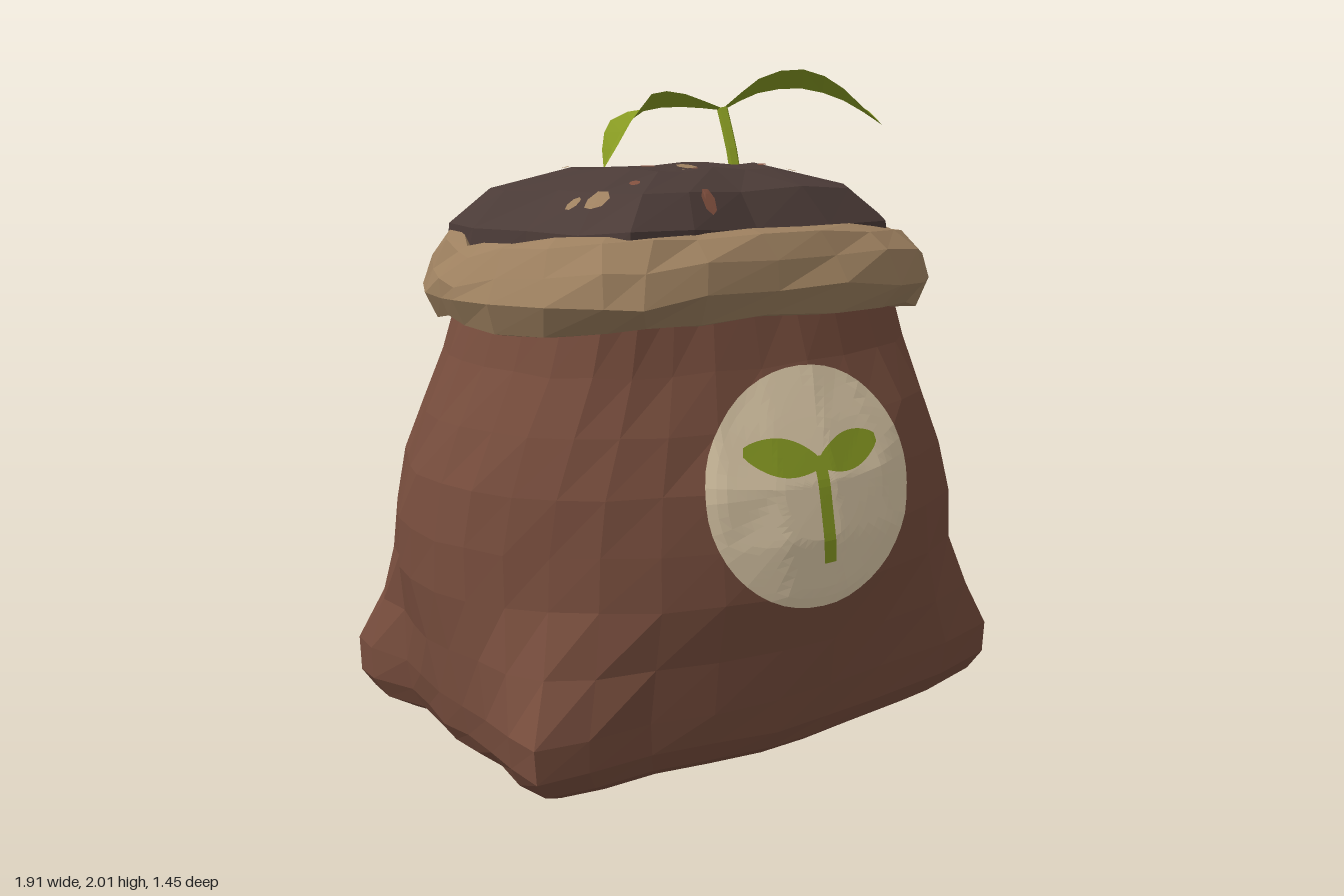
import * as THREE from 'three';

const mat = (name, color, side = THREE.FrontSide) => {
  const m = new THREE.MeshStandardMaterial({ color, side, flatShading: true });
  m.name = name;
  return m;
};

// Seeded jitter in -1..1
let seed = 7;
const rnd = () => {
  seed = (seed * 16807) % 2147483647;
  return (seed / 2147483647) * 2 - 1;
};

// Outlines as [x, z], from the front left corner round by the front right
const LOW = [[-0.755, 0.715], [-0.4, 0.68], [0, 0.68], [0.4, 0.58], [0.945, 0.38], [0.9, 0.05], [0.82, -0.2], [0.76, -0.45],
  [0.75, -0.72], [0.35, -0.67], [0, -0.65], [-0.4, -0.52], [-0.95, -0.36], [-0.86, -0.1], [-0.85, 0.2], [-0.79, 0.45]];
const MID = [[-0.65, 0.55], [-0.38, 0.695], [0, 0.73], [0.4, 0.64], [0.77, 0.41], [0.87, 0.05], [0.83, -0.2], [0.74, -0.4],
  [0.58, -0.56], [0.33, -0.67], [0, -0.7], [-0.4, -0.55], [-0.77, -0.36], [-0.87, -0.15], [-0.91, 0.1], [-0.83, 0.36]];
const NECK = [[-0.45, 0.5], [-0.25, 0.52], [0, 0.5], [0.3, 0.43], [0.56, 0.29], [0.69, 0.12], [0.66, -0.12], [0.58, -0.3],
  [0.46, -0.44], [0.2, -0.39], [-0.04, -0.4], [-0.35, -0.32], [-0.6, -0.22], [-0.65, -0.1], [-0.67, 0.1], [-0.6, 0.32]];
const RIM = [[-0.5, 0.61], [-0.33, 0.65], [0.03, 0.6], [0.39, 0.52], [0.64, 0.4], [0.78, 0.18], [0.76, -0.03], [0.68, -0.28],
  [0.55, -0.56], [0.2, -0.48], [-0.04, -0.51], [-0.43, -0.38], [-0.7, -0.29], [-0.74, -0.1], [-0.75, 0.1], [-0.67, 0.4]];
const SOIL = [[-0.38, 0.53], [0.05, 0.44], [0.55, 0.34], [0.65, -0.08], [0.5, -0.47], [0.0, -0.35], [-0.64, -0.25], [-0.54, 0.15]];

const mix = (a, b, t) => a.map(([x, z], i) => [x + (b[i][0] - x) * t, z + (b[i][1] - z) * t]);

// Smooth closed ring at height y through an outline
function ring(outline, y, n, scale = 1, jitter = 0) {
  const curve = new THREE.CatmullRomCurve3(
    outline.map(([x, z]) => new THREE.Vector3(x * scale, y, z * scale)), true, 'catmullrom', 0.5);
  return Array.from({ length: n }, (_, j) => {
    const p = curve.getPoint(j / n);
    return p.add(new THREE.Vector3(rnd(), rnd(), rnd()).multiplyScalar(jitter));
  });
}

// Surface through rows of points, with optional end caps
function loft(rows, { closed = true, bottom, top } = {}) {
  const n = rows[0].length;
  const pts = rows.flat();
  const idx = [];
  const cols = closed ? n : n - 1;
  for (let i = 0; i < rows.length - 1; i++) {
    for (let j = 0; j < cols; j++) {
      const k = (j + 1) % n;
      const a = i * n + j, b = i * n + k, c = a + n, d = b + n;
      idx.push(a, b, d, a, d, c);
    }
  }
  if (bottom) {
    const c = pts.push(bottom) - 1;
    for (let j = 0; j < n; j++) idx.push(c, (j + 1) % n, j);
  }
  if (top) {
    const c = pts.push(top) - 1, o = (rows.length - 1) * n;
    for (let j = 0; j < n; j++) idx.push(o + j, o + ((j + 1) % n), c);
  }
  const g = new THREE.BufferGeometry().setFromPoints(pts);
  g.setIndex(idx);
  g.computeVertexNormals();
  return g;
}

// Drop a point along a direction onto a mesh and lift it slightly off
const caster = new THREE.Raycaster();
function project(mesh, origin, dir, lift) {
  caster.set(origin, dir);
  const hit = caster.intersectObject(mesh)[0];
  return (hit ? hit.point.clone() : origin.clone().addScaledVector(dir, 1.5)).addScaledVector(dir, -lift);
}

export function createModel() {
  seed = 7;
  const group = new THREE.Group();
  const sackMat = mat('sack brown', 0x774d3d);
  const rimMat = mat('cuff tan', 0x9e8160);
  const soilMat = mat('soil', 0x4b3b37);
  const chipMat = mat('soil chip brown', 0x81503f);
  const labelMat = mat('label cream', 0xdcc9a8);
  const leafMat = mat('leaf green', 0x879a22, THREE.DoubleSide);
  const add = (name, geo, material, parent = group) => {
    const m = new THREE.Mesh(geo, material);
    m.name = name;
    parent.add(m);
    return m;
  };

  // Sack body: pinched lower corners, full belly, narrow neck
  const N = 32;
  const sack = add('sack', loft([
    ring(LOW, 0.008, N, 0.74),
    ring(LOW, 0.03, N, 0.86),
    ring(LOW, 0.07, N, 0.95),
    ring(LOW, 0.13, N, 0.995, 0.005),
    ring(mix(LOW, MID, 0.06), 0.23, N, 1.01, 0.006),
    ring(mix(LOW, MID, 0.5), 0.38, N, 1, 0.006),
    ring(mix(LOW, MID, 0.95), 0.55, N, 1, 0.006),
    ring(MID, 0.7, N, 0.99, 0.006),
    ring(mix(MID, NECK, 0.17), 0.86, N, 1, 0.006),
    ring(mix(MID, NECK, 0.43), 1.02, N, 1, 0.006),
    ring(mix(MID, NECK, 0.74), 1.18, N, 1, 0.006),
    ring(NECK, 1.38, N),
  ], { bottom: new THREE.Vector3(0, 0, 0) }), sackMat);

  // Rolled cuff: under, round the outside, over the top and in to the soil
  const cuffRows = [[0.95, 1.32], [0.3, 1.33], [-0.12, 1.41], [0.1, 1.49], [0.6, 1.56], [1.15, 1.575], [1.7, 1.52], [2.8, 1.47]]
    .map(([t, y]) => ring(mix(RIM, NECK, t), y, 24, 1, 0.013));
  cuffRows.forEach((row, i) => row.forEach((p) => {
    const sag = i > 2 ? 0.09 * Math.exp(-p.z * p.z / 0.05) : 0.02;
    p.y -= (0.07 + sag) * p.x * p.x;
  }));
  const cuff = add('cuff', loft(cuffRows), rimMat);

  // Heaped soil, a little higher towards the front
  const soilRows = [[1.4, 1.03, 0], [1.555, 1, 0.012], [1.655, 0.82, 0.01], [1.715, 0.46, 0.008]]
    .map(([y, scale, jitter]) => ring(SOIL, y, 16, scale, jitter));
  soilRows.flat().forEach((p) => { p.y += 0.02 * p.z; });
  const soil = add('soil', loft(soilRows, { top: new THREE.Vector3(0, 1.7, 0) }), soilMat);

  // Chips lying flat: x, z, size
  const down = new THREE.Vector3(0, -1, 0);
  const chips = (list, material, name, ground = soil) => list.forEach(([x, z, s]) => {
    const turn = rnd() * 3;
    const rows = [1, 0.5, 0].map((r) => Array.from({ length: 7 }, (_, j) => {
      const a = (j / 7) * Math.PI * 2;
      const u = Math.cos(a) * s * r, v = Math.sin(a) * s * r * 0.65;
      const dx = u * Math.cos(turn) - v * Math.sin(turn), dz = u * Math.sin(turn) + v * Math.cos(turn);
      return project(ground, new THREE.Vector3(x + dx, 3, z - dz), down, 0.006);
    }));
    add(name, loft(rows), material);
  });
  chips([[0.08, -0.08, 0.05], [-0.07, 0.17, 0.04], [-0.4, 0.33, 0.04], [-0.44, 0.25, 0.025], [0.3, -0.2, 0.045],
    [0.37, 0.07, 0.025], [-0.31, -0.13, 0.02], [-0.19, 0.01, 0.018], [0.18, -0.31, 0.05]], rimMat, 'paleChip');
  chips([[-0.05, 0.22, 0.02], [0.36, -0.11, 0.025], [-0.2, 0.15, 0.025], [-0.04, -0.11, 0.025], [0.29, 0.03, 0.02],
    [-0.28, 0.32, 0.025], [-0.1, 0.43, 0.035]], chipMat, 'brownChip');
  chips([[-0.25, -0.33, 0.06], [-0.36, -0.31, 0.04], [0.3, -0.43, 0.04]], soilMat, 'spilledSoil', cuff);

  // Round label moulded to the front of the sack
  const back = new THREE.Vector3(0, 0, -1);
  const onFront = (x, y, lift) => project(sack, new THREE.Vector3(x, y, 3), back, lift);
  const labelRows = Array.from({ length: 13 }, (_, i) => Array.from({ length: 48 }, (_, j) => {
    const a = (j / 48) * Math.PI * 2, r = 1 - i / 12;
    return onFront(0.13 + 0.37 * r * Math.cos(a), 0.838 + 0.337 * r * Math.sin(a), 0.007);
  }));
  add('label', loft(labelRows), labelMat);

  // Painted seedling: strips along a line with varying half width
  const paint = (name, from, to, width) => {
    const rows = Array.from({ length: 15 }, (_, i) => {
      const t = i / 14;
      const x = from[0] + (to[0] - from[0]) * t, y = from[1] + (to[1] - from[1]) * t;
      const len = Math.hypot(to[0] - from[0], to[1] - from[1]);
      const nx = -(to[1] - from[1]) / len, ny = (to[0] - from[0]) / len;
      return [-1, -0.5, 0, 0.5, 1].map((s) => onFront(x + nx * s * width(t), y + ny * s * width(t), 0.013));
    });
    add(name, loft(rows, { closed: false }), leafMat);
  };
  const lens = (t) => 0.012 + 0.04 * Math.pow(Math.sin(Math.PI * t), 0.8);
  paint('paintedStem', [0.147, 0.63], [0.14, 0.93], () => 0.021);
  paint('paintedLeafRight', [0.14, 0.91], [-0.11, 0.965], lens);
  paint('paintedLeafLeft', [0.14, 0.91], [0.37, 0.95], lens);

  // Seedling with a stem and two arching folded leaves, tilted up at the front
  const sprout = new THREE.Group();
  sprout.name = 'seedling';
  group.add(sprout);
  const v = (a) => new THREE.Vector3(...a);
  const stem = new THREE.CatmullRomCurve3([[0.34, 1.62, -0.225], [0.335, 1.75, -0.26], [0.325, 1.885, -0.31]].map(v));
  add('stem', new THREE.TubeGeometry(stem, 4, 0.019, 5), leafMat, sprout);
  const leaf = (name, path, halfWidth, fold) => {
    const curve = new THREE.CatmullRomCurve3(path.map(v));
    const rows = Array.from({ length: 9 }, (_, i) => {
      const t = i / 8, p = curve.getPoint(t), d = curve.getTangent(t);
      const w = halfWidth * (0.12 * (1 - t) + Math.sin(Math.PI * t));
      const side = new THREE.Vector3(-d.z, 0, d.x).normalize().multiplyScalar(w);
      side.y = 0.4 * side.z;
      const up = new THREE.Vector3().crossVectors(side, d).normalize();
      if (up.y < 0) up.negate();
      up.multiplyScalar(w * fold);
      return [p.clone().add(side).add(up), p.clone().sub(up), p.clone().sub(side).add(up)];
    });
    add(name, loft(rows, { closed: false }), leafMat, sprout);
  };
  leaf('leafRight', [[0.325, 1.88, -0.31], [0.2, 1.9, -0.36], [0.06, 1.89, -0.375], [-0.04, 1.82, -0.33], [-0.13, 1.7, -0.25]], 0.07, 0.2);
  leaf('leafLeft', [[0.325, 1.88, -0.31], [0.44, 1.945, -0.29], [0.58, 1.965, -0.23], [0.7, 1.92, -0.15], [0.785, 1.83, -0.05]], 0.08, 0.2);

  return group;
}
